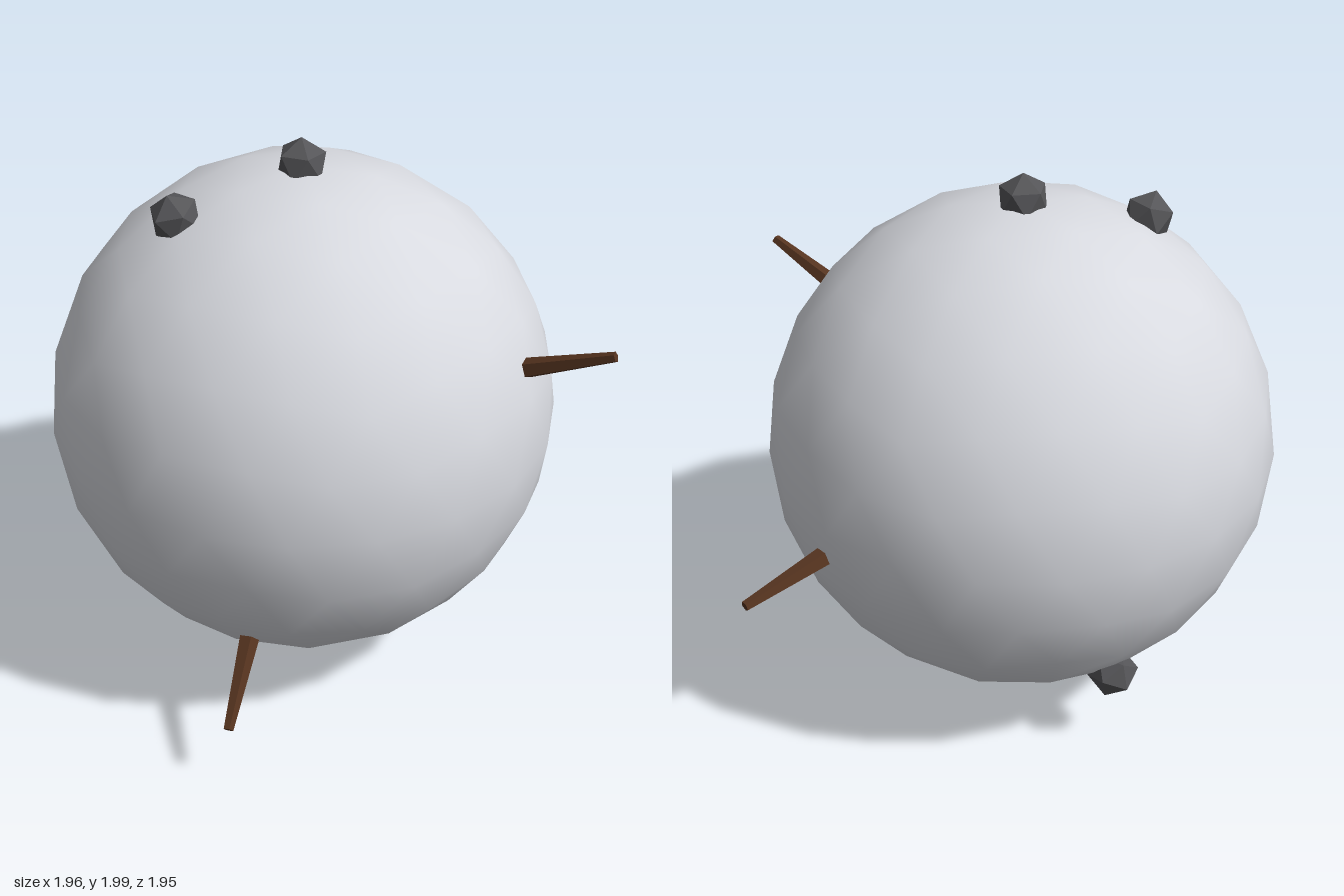
import * as THREE from 'three';

const CENTRE = new THREE.Vector3(-0.067, 0.988, 0);
const RADIUS = 0.912;

// icosahedron standing on a corner, with one upper corner towards +x
function uprightIcosahedron(radius, detail = 0) {
  const geo = new THREE.IcosahedronGeometry(radius, detail);
  geo.rotateZ(-Math.atan(2 / (1 + Math.sqrt(5))));
  return geo;
}

// halve every edge twice, keeping the points on the sphere
function ballGeometry(radius) {
  const p = uprightIcosahedron(1, 1).getAttribute('position');
  return new THREE.PolyhedronGeometry(Array.from(p.array), [...Array(p.count).keys()], radius, 1);
}

export function createModel() {
  const group = new THREE.Group();
  const mat = (name, color, flatShading = false) => {
    const m = new THREE.MeshStandardMaterial({ color, flatShading });
    m.name = name;
    return m;
  };
  const paleGrey = mat('paleGrey', 0xd8dae0);
  const darkGrey = mat('darkGrey', 0x555558, true);
  const brown = mat('brown', 0x55331f, true);

  const add = (name, geo, material, direction, distance) => {
    const mesh = new THREE.Mesh(geo, material);
    mesh.name = name;
    mesh.position.copy(CENTRE).addScaledVector(direction, distance);
    group.add(mesh);
    return mesh;
  };

  // large smooth ball
  add('ball', ballGeometry(RADIUS), paleGrey, new THREE.Vector3(), 0);

  // faceted stones half sunk in the surface: direction, rotation
  const stone = uprightIcosahedron(0.0912);
  [
    [[0, 1, 0], [0, 0, 0]],
    [[-0.409, 0.807, 0.195], [0.15, 0.3, 0.25]],
    [[0.051, -0.89, 0.227], [0, 0.4, 0.05]],
    [[-0.413, -0.655, -0.497], [0.4, 0.7, 0.3]],
  ].forEach(([dir, rot], i) => {
    const d = new THREE.Vector3(...dir).normalize();
    add('stone' + (i + 1), stone, darkGrey, d, 0.921).rotation.set(...rot);
  });

  // tapered twigs standing straight out of the ball
  const length = 0.32;
  const twig = new THREE.CylinderGeometry(0.018, 0.036, length, 5);
  [
    [0.842, 0.384, 0.386],
    [0.614, -0.125, -0.779],
    [-0.169, -0.597, 0.784],
  ].forEach((dir, i) => {
    const d = new THREE.Vector3(...dir).normalize();
    const mesh = add('twig' + (i + 1), twig, brown, d, 0.912 + length / 2);
    mesh.quaternion.setFromUnitVectors(new THREE.Vector3(0, 1, 0), d);
  });

  return group;
}
